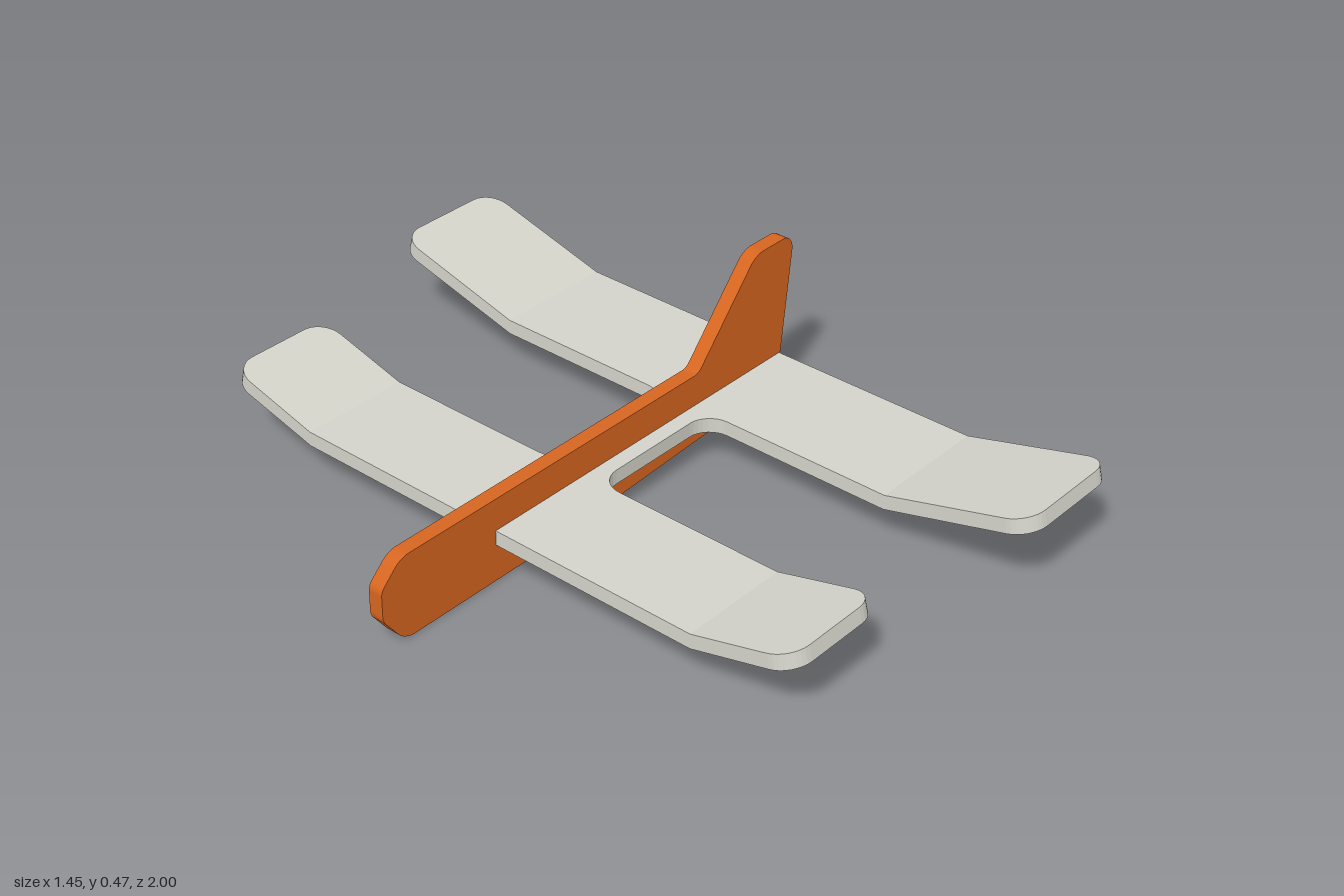
import * as THREE from 'three';

const THICK = 0.04;          // sheet thickness of every part
const WING_Y = 0.12;         // mid height of the wing sheet
const HINGE_Z = 0.6;         // where the wings bend upward
const DIHEDRAL = THREE.MathUtils.degToRad(15);

const orange = new THREE.MeshStandardMaterial({ color: 0xd66520 });
orange.name = 'orange';
const grey = new THREE.MeshStandardMaterial({ color: 0xd3d3ca });
grey.name = 'light grey';

// Closed outline from [x, y, cut] corners; cut is the rounding length along each edge
function roundedShape(corners) {
  const shape = new THREE.Shape();
  const n = corners.length;
  const point = (i) => new THREE.Vector2(corners[(i + n) % n][0], corners[(i + n) % n][1]);
  corners.forEach(([, , cut = 0], i) => {
    const c = point(i);
    const toPrev = point(i - 1).sub(c).normalize();
    const toNext = point(i + 1).sub(c).normalize();
    const at = (dir, d) => c.clone().addScaledVector(dir, d);
    const start = at(toPrev, cut);
    if (i === 0) shape.moveTo(start.x, start.y);
    else shape.lineTo(start.x, start.y);
    if (cut > 0) {
      const a = at(toPrev, cut * 0.45), b = at(toNext, cut * 0.45), end = at(toNext, cut);
      shape.bezierCurveTo(a.x, a.y, b.x, b.y, end.x, end.y);
    }
  });
  shape.closePath();
  return shape;
}

// Sheet centred on its own mid plane
function sheet(corners) {
  return new THREE.ExtrudeGeometry(roundedShape(corners), {
    depth: THICK, bevelEnabled: false, curveSegments: 8,
  }).translate(0, 0, -THICK / 2);
}

function addPart(group, name, geometry, material) {
  const mesh = new THREE.Mesh(geometry, material);
  mesh.name = name;
  group.add(mesh);
}

// Upturned wing end, its root edge welded to the flat sheet
function wingTip(x0, x1, length, side) {
  const [a, b] = side > 0 ? [x0, x1] : [-x1, -x0];
  const geo = sheet([[a, 0], [b, 0], [b, length, 0.065], [a, length, 0.065]]);
  geo.rotateX(Math.PI / 2 - DIHEDRAL);
  const pos = geo.attributes.position;
  for (let i = 0; i < pos.count; i++) {
    if (Math.abs(pos.getZ(i)) < 0.01) {
      pos.setY(i, Math.sign(pos.getY(i)) * THICK / 2);
      pos.setZ(i, 0);
    }
  }
  geo.computeVertexNormals();
  geo.translate(0, WING_Y, HINGE_Z);
  if (side < 0) geo.rotateY(Math.PI);
  return geo;
}

export function createModel() {
  const model = new THREE.Group();
  model.name = 'gliderPlane';

  // Wing extents along the body
  const front = [-0.36, -0.055], rear = [0.347, 0.686];
  const top = WING_Y + THICK / 2, bottom = WING_Y - THICK / 2;

  // Upright body and fin, slotted from the tail for the wing sheet
  addPart(model, 'fuselageAndFin', sheet([
    [-0.66, 0, 0.03], [-0.195, 0],
    [0.687, 0.05, 0.035], [0.689, bottom],
    [front[0], bottom], [front[0], top], [0.691, top],
    [0.726, 0.47, 0.045], [0.575, 0.47, 0.028],
    [0.363, 0.227, 0.015],
    [-0.662, 0.227, 0.025], [-0.724, 0.167, 0.012],
    [-0.724, 0.085, 0.012],
  ]), orange);

  // Flat H-shaped sheet: both wing centres joined by a narrow bar
  const bar = 0.063, fillet = 0.065, h = HINGE_Z;
  const flat = sheet([
    [front[0], -h], [front[1], -h], [front[1], -bar, fillet],
    [rear[0], -bar, fillet], [rear[0], -h], [rear[1], -h],
    [rear[1], h], [rear[0], h], [rear[0], bar, fillet],
    [front[1], bar, fillet], [front[1], h], [front[0], h],
  ]).rotateX(Math.PI / 2).translate(0, WING_Y, 0);
  addPart(model, 'wingCentre', flat, grey);

  // Upturned tips on both sides
  for (const side of [1, -1]) {
    const label = side > 0 ? 'Near' : 'Far';
    addPart(model, 'frontWingTip' + label, wingTip(...front, 0.286, side), grey);
    addPart(model, 'rearWingTip' + label, wingTip(...rear, 0.409, side), grey);
  }
  return model;
}
